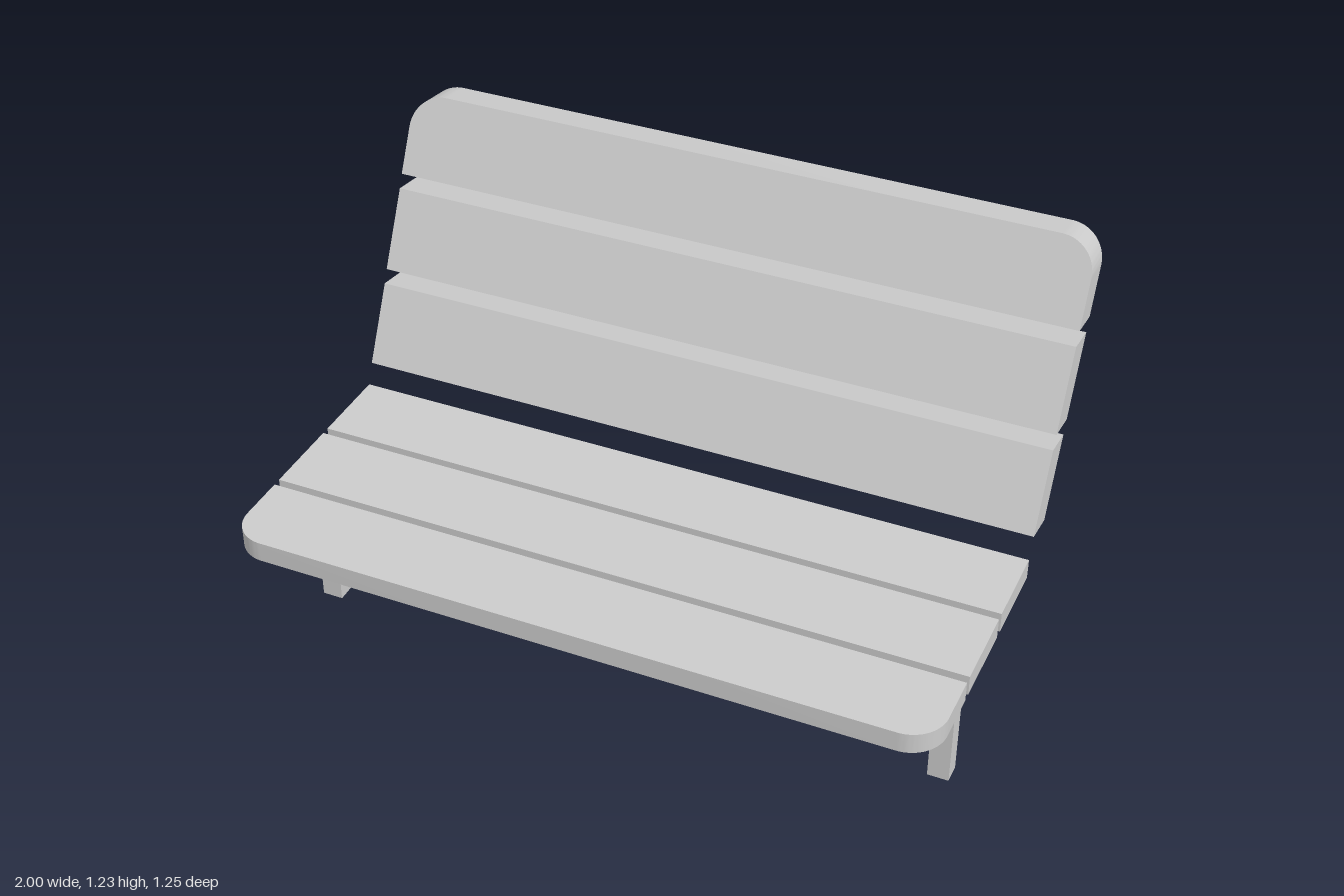
import * as THREE from 'three';
import { toCreasedNormals } from 'three/addons/utils/BufferGeometryUtils.js';

const material = new THREE.MeshStandardMaterial({ color: 0xcccccc });
const legMaterial = new THREE.MeshStandardMaterial({ color: 0xcccccc, side: THREE.DoubleSide });

// Plank outline, 2 long and 1 wide; the far edge may have rounded corners.
function plankShape(rx, ry) {
  const s = new THREE.Shape();
  s.moveTo(-1, 0);
  s.lineTo(1, 0);
  if (rx > 0) {
    s.lineTo(1, 1 - ry);
    s.absellipse(1 - rx, 1 - ry, rx, ry, 0, Math.PI / 2, false);
    s.lineTo(-1 + rx, 1);
    s.absellipse(-1 + rx, 1 - ry, rx, ry, Math.PI / 2, Math.PI, false);
  } else {
    s.lineTo(1, 1);
    s.lineTo(-1, 1);
  }
  s.closePath();
  return s;
}

// Plank spanned by a width vector and a thickness vector from its origin edge.
function plank(name, origin, width, thickness, rounded) {
  const shape = rounded ? plankShape(0.1, 0.42) : plankShape(0, 0);
  let g = new THREE.ExtrudeGeometry(shape, { depth: 1, bevelEnabled: false, curveSegments: 12 });
  g.applyMatrix4(new THREE.Matrix4().makeBasis(new THREE.Vector3(1, 0, 0), width, thickness).setPosition(origin));
  g = toCreasedNormals(g, 0.5);
  const mesh = new THREE.Mesh(g, material);
  mesh.name = name;
  return mesh;
}

export function createModel() {
  const bench = new THREE.Group();
  bench.name = 'bench';

  // Seat: three flat slats, the front one with rounded corners
  const seat = new THREE.Group();
  seat.name = 'seat';
  for (let i = 0; i < 3; i++) {
    seat.add(plank('seatSlat' + (i + 1), new THREE.Vector3(0, 0.455, -0.142 + i * 0.2635),
      new THREE.Vector3(0, 0, 0.24), new THREE.Vector3(0, -0.06, 0), i === 2));
  }
  bench.add(seat);

  // Backrest: three leaning slats with a skewed section, the top one rounded
  const back = new THREE.Group();
  back.name = 'backrest';
  for (let i = 0; i < 3; i++) {
    back.add(plank('backSlat' + (i + 1), new THREE.Vector3(0, 0.5 + i * 0.251, -0.267 - i * 0.1235),
      new THREE.Vector3(0, 0.212, -0.107), new THREE.Vector3(0, 0.016, 0.101), i === 2));
  }
  bench.add(back);

  // Legs: two square tubes, open at the bottom
  const half = [0.03, 0.0275];
  const outline = new THREE.CylinderGeometry(Math.SQRT2, Math.SQRT2, 0.395, 4, 1, true).rotateY(Math.PI / 4);
  const legGeometry = toCreasedNormals(outline.scale(half[0], 1, half[1]), 0.5);
  for (const side of [1, -1]) {
    const leg = new THREE.Mesh(legGeometry, legMaterial);
    leg.name = side > 0 ? 'leftLeg' : 'rightLeg';
    leg.position.set(side * 0.92, 0.1975, 0.25);
    bench.add(leg);
  }
  return bench;
}
